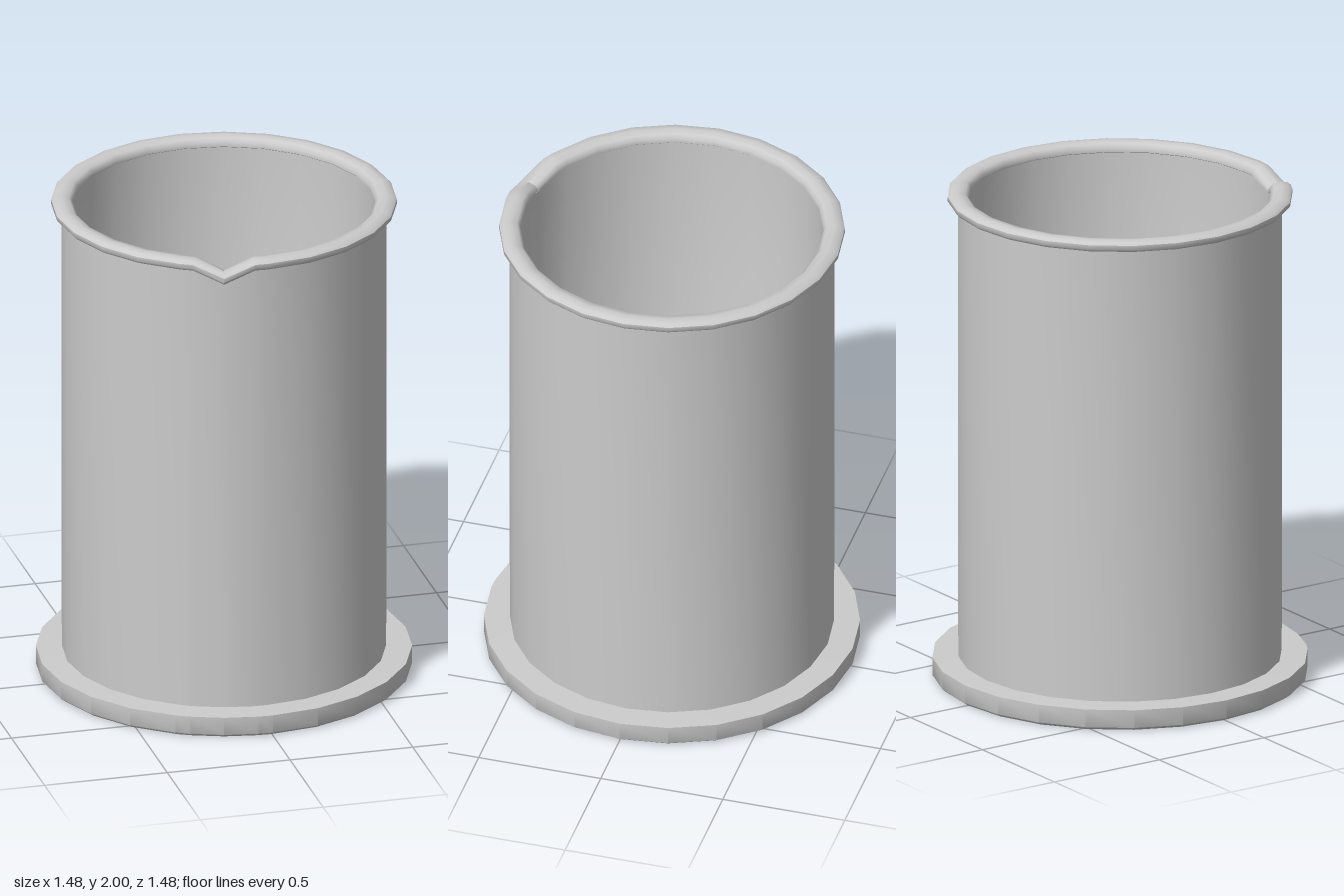
import * as THREE from 'three';
import { toCreasedNormals } from 'three/addons/utils/BufferGeometryUtils.js';

const SPOUT = -15; // direction of the pouring lip, degrees from the front
const HALF = 10.5; // half width of the lip, degrees

// 24 even sides, plus one extra division on each side of the lip
const angles = [SPOUT - HALF, SPOUT + HALF];
for (let i = 0; i <= 24; i++) angles.push(i * 15 - 180);
angles.sort((a, b) => a - b);

// Turn a profile around y, then let warp(point, r, k) shape the lip (k = 1 at its centre)
function turned(name, profile, crease, warp) {
  const points = profile.map(([r, y]) => new THREE.Vector2(r, y));
  const geometry = new THREE.LatheGeometry(points, angles.length - 1);
  const pos = geometry.attributes.position;
  for (let i = 0; i < pos.count; i++) {
    const column = Math.floor(i / profile.length);
    let [r, y] = profile[i % profile.length];
    const k = Math.max(0, 1 - Math.abs(angles[column] - SPOUT) / HALF);
    if (warp) [r, y] = warp(r, y, k);
    const a = THREE.MathUtils.degToRad(angles[column]);
    pos.setXYZ(i, r * Math.sin(a), y, r * Math.cos(a));
  }
  const material = new THREE.MeshStandardMaterial({ color: 0xcccccc, side: THREE.DoubleSide });
  const mesh = new THREE.Mesh(toCreasedNormals(geometry, crease), material);
  mesh.name = name;
  return mesh;
}

export function createModel() {
  const group = new THREE.Group();
  group.name = 'beaker';

  // Wide flat foot
  group.add(turned('foot', [[0, 0], [0.725, 0], [0.74, 0.012], [0.74, 0.085], [0.63, 0.088]], 0.9));

  // Outer wall, inner wall and floor, bulging a little under the lip
  group.add(turned('body',
    [[0.638, 0.085], [0.64, 1.97], [0.6, 1.97], [0.598, 0.2], [0.57, 0.12], [0.5, 0.09], [0, 0.085]],
    0.9,
    (r, y, k) => {
      const t = Math.max(0, (y - 0.2) / 1.77);
      return [r + 0.015 * k * t, y - 0.045 * k * t];
    }));

  // Rounded rim, dipping into a V at the pouring lip
  group.add(turned('rim',
    [[0.635, 1.955], [0.67, 1.957], [0.68, 1.968], [0.68, 1.985], [0.668, 1.996], [0.64, 2],
      [0.61, 1.994], [0.597, 1.98], [0.597, 1.962], [0.605, 1.955], [0.635, 1.955]],
    0.8,
    (r, y, k) => [r + 0.02 * k, y - 0.047 * k]));

  return group;
}
